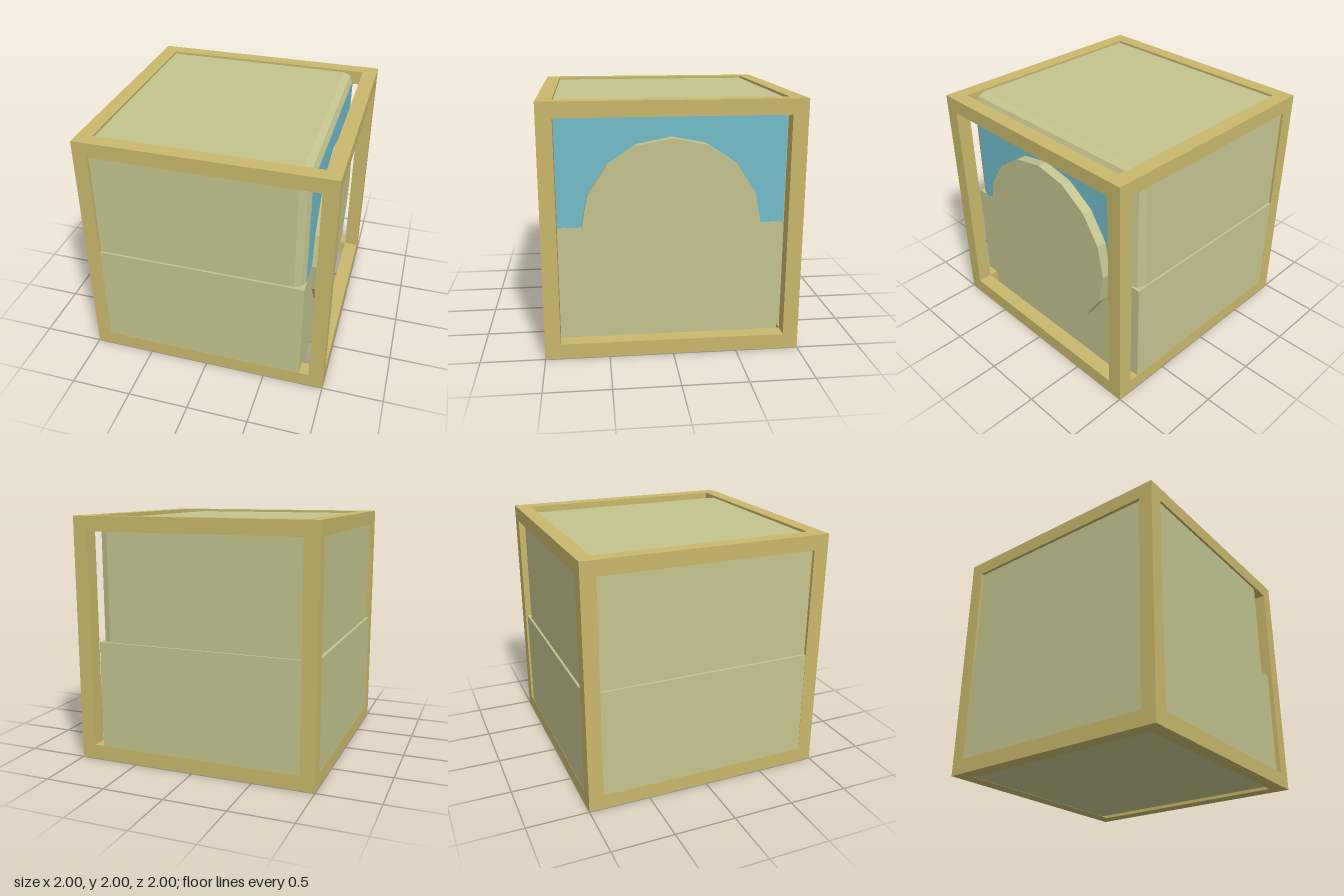
import * as THREE from 'three';
import { RoundedBoxGeometry } from 'three/addons/geometries/RoundedBoxGeometry.js';

const mat = (name, color) => {
  const m = new THREE.MeshStandardMaterial({ color });
  m.name = name;
  return m;
};

export function createModel() {
  const group = new THREE.Group();
  group.name = 'framedCube';
  const gold = mat('goldFrame', 0xc9b86c);
  const khaki = mat('khakiBody', 0xc4c48f);
  const blue = mat('blueWindow', 0x73bccb);

  const add = (name, geometry, material, x, y, z, parent = group) => {
    const mesh = new THREE.Mesh(geometry, material);
    mesh.name = name;
    mesh.position.set(x, y, z);
    parent.add(mesh);
    return mesh;
  };

  // Open cube frame: four bars along each axis
  const t = 0.12, inner = 2 - 2 * t, c = 1 - t / 2;
  const frame = new THREE.Group();
  frame.name = 'frame';
  group.add(frame);
  for (const a of [-c, c]) {
    for (const b of [-c, c]) {
      add('crossBar', new THREE.BoxGeometry(2, t, t), gold, 0, 1 + a, b, frame);
      add('post', new THREE.BoxGeometry(t, inner, t), gold, a, 1, b, frame);
      add('sideBar', new THREE.BoxGeometry(t, t, inner), gold, a, 1 + b, 0, frame);
    }
  }

  // Lower block, almost flush with the frame's outside
  const skin = 0.002;
  add('lowerBlock', new THREE.BoxGeometry(1.8 - skin, 1 - skin, 2 - 2 * skin), khaki,
    (-1 + skin + 0.8) / 2, (1 + skin) / 2, 0);

  // Upper body with faceted two-step bevels; its lower half sits inside the block
  const x0 = -0.975, x1 = 0.795;
  const bodyGeometry = new RoundedBoxGeometry(x1 - x0, 1.96, 1.96, 1, 0.08);
  bodyGeometry.computeVertexNormals();
  add('upperBody', bodyGeometry, khaki, (x0 + x1) / 2, 1, 0);

  // Window plate on the left side
  add('window', new THREE.BoxGeometry(0.004, 0.9, 1.8), blue, x1 + 0.001, 1.45, 0);

  // Sixteen-sided disc, with one corner pointing straight up
  const discGeometry = new THREE.CylinderGeometry(0.7, 0.7, 0.1, 16).toNonIndexed();
  discGeometry.computeVertexNormals();
  add('disc', discGeometry, khaki, 0.83, 1, 0).rotation.z = -Math.PI / 2;

  return group;
}
